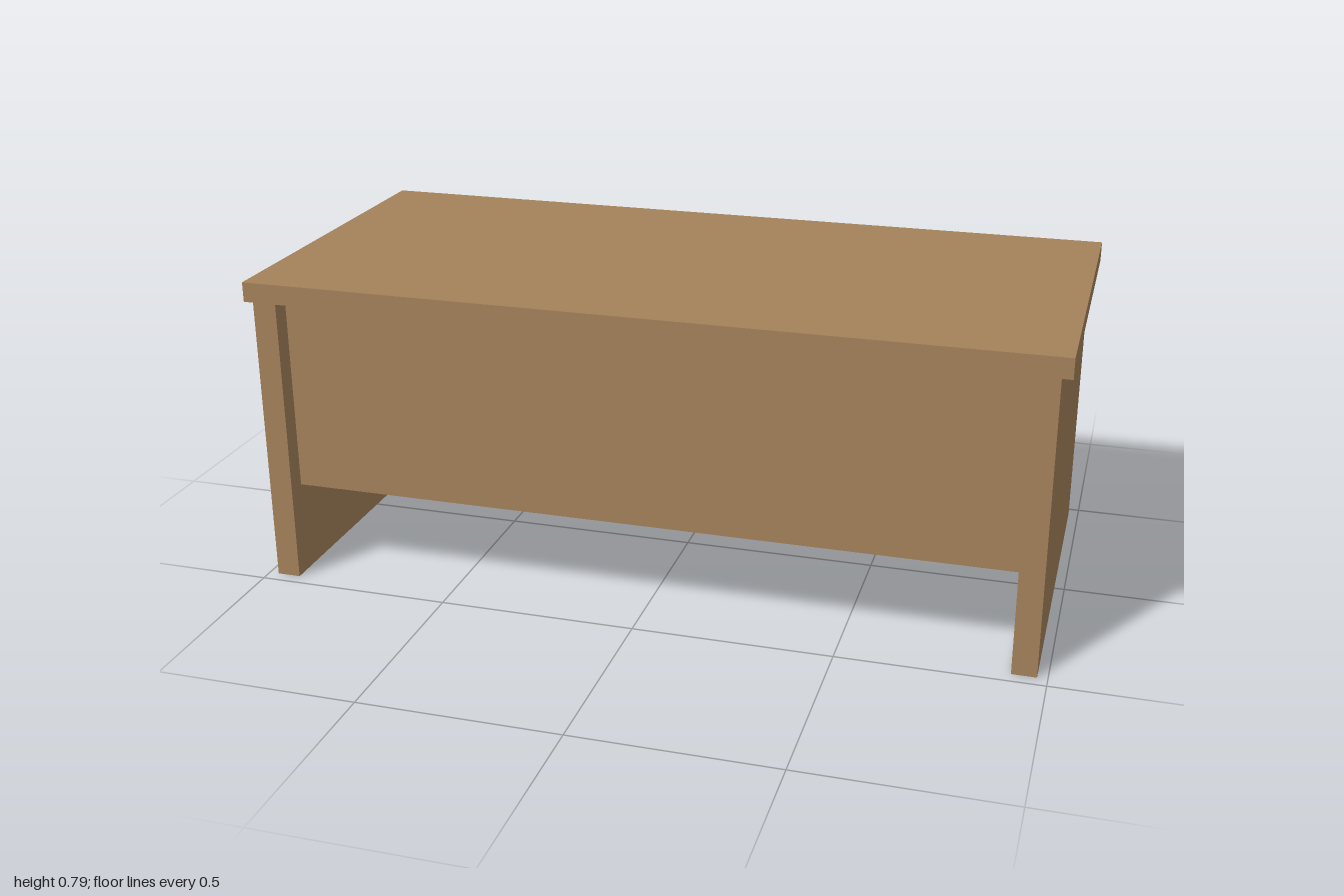
import * as THREE from 'three';

export function createModel() {
  const desk = new THREE.Group();
  desk.name = 'desk';
  const wood = new THREE.MeshStandardMaterial({ color: 0xa4825a });
  wood.name = 'wood';

  // Box given by its limits on each axis
  function box(name, [x0, x1], [y0, y1], [z0, z1], parent = desk) {
    const mesh = new THREE.Mesh(new THREE.BoxGeometry(x1 - x0, y1 - y0, z1 - z0), wood);
    mesh.name = name;
    mesh.position.set((x0 + x1) / 2, (y0 + y1) / 2, (z0 + z1) / 2);
    parent.add(mesh);
    return mesh;
  }

  const depth = [-0.467, 0.467];
  box('desktop', [-1, 1], [0.74, 0.79], depth);

  // Slab legs
  box('leftLeg', [0.915, 0.975], [0, 0.74], depth);
  box('rightLeg', [-0.975, -0.915], [0, 0.74], depth);

  // Modesty panel set back from the front
  box('modestyPanel', [-0.915, 0.915], [0.24, 0.74], [0.375, 0.418]);

  // Cabinet under the right end, opening towards the sitter at the back
  const cabinet = new THREE.Group();
  cabinet.name = 'cabinet';
  desk.add(cabinet);
  box('cabinetBody', [-0.915, -0.43], [0.24, 0.74], [-0.385, 0.375], cabinet);
  box('drawerFront', [-0.913, -0.432], [0.645, 0.738], [-0.402, -0.385], cabinet);
  box('cabinetDoor', [-0.913, -0.432], [0.247, 0.632], [-0.402, -0.385], cabinet);

  // Pull handle: a bar on two posts
  function handle(name, x, y, turn) {
    const pull = new THREE.Group();
    pull.name = name;
    box('handleBar', [-0.036, 0.036], [-0.011, 0.011], [-0.024, -0.014], pull);
    for (const s of [-1, 1]) {
      const cx = s * 0.031;
      box('handlePost', [cx - 0.005, cx + 0.005], [-0.011, 0.011], [-0.014, 0], pull);
    }
    pull.position.set(x, y, -0.402);
    pull.rotation.z = turn;
    cabinet.add(pull);
  }
  handle('drawerHandle', -0.675, 0.695, 0);
  handle('doorHandle', -0.47, 0.53, Math.PI / 2);

  return desk;
}
